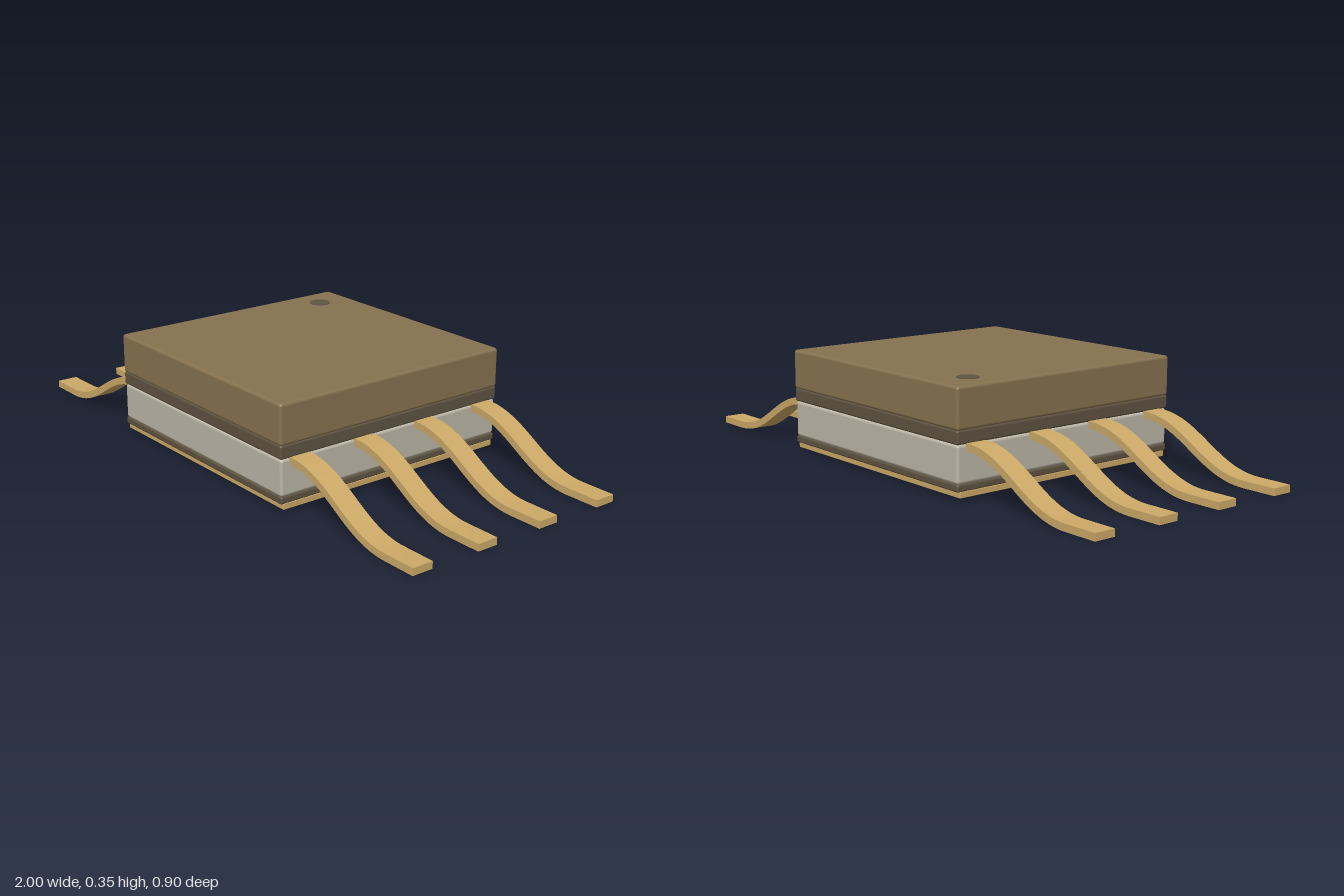
import * as THREE from 'three';
import { toCreasedNormals } from 'three/addons/utils/BufferGeometryUtils.js';
import { RoundedBoxGeometry } from 'three/addons/geometries/RoundedBoxGeometry.js';

function material(name, color) {
  const m = new THREE.MeshStandardMaterial({ color });
  m.name = name;
  return m;
}

// Side outline of a lead: a flat strip bent into a soft S, thickened along its normals
function leadGeometry(thickness, width) {
  const path = new THREE.CurvePath();
  const v = (x, y) => new THREE.Vector2(x, y);
  const high = 0.163, low = thickness / 2;
  path.add(new THREE.LineCurve(v(0.40, high), v(0.45, high)));
  path.add(new THREE.CubicBezierCurve(v(0.45, high), v(0.62, high), v(0.70, low), v(0.88, low)));
  path.add(new THREE.LineCurve(v(0.88, low), v(1, low)));

  const upper = [], lower = [];
  for (const curve of path.curves) {
    const steps = curve.isLineCurve ? 1 : 24;
    for (let i = curve === path.curves[0] ? 0 : 1; i <= steps; i++) {
      const p = curve.getPoint(i / steps);
      const t = curve.getTangent(i / steps);
      const n = v(-t.y, t.x).multiplyScalar(thickness / 2);
      upper.push(p.clone().add(n));
      lower.push(p.clone().sub(n));
    }
  }
  const shape = new THREE.Shape([...lower, ...upper.reverse()]);
  const geometry = new THREE.ExtrudeGeometry(shape, { depth: width, bevelEnabled: false });
  geometry.translate(0, 0, -width / 2);
  return toCreasedNormals(geometry, 0.6);
}

export function createModel() {
  const model = new THREE.Group();
  model.name = 'flatPackage';

  const brown = material('brown ceramic', 0x86724f);
  const dark = material('dark seal', 0x5e5341);
  const grey = material('pale ceramic', 0xbcb6a6);
  const gold = material('gold metal', 0xcca967);

  // Stacked body layers: name, bottom, top, width, depth, edge radius, material
  const layers = [
    ['basePlate', 0.008, 0.028, 0.89, 0.874, 0.002, gold],
    ['lowerSeal', 0.027, 0.051, 0.892, 0.894, 0.006, dark],
    ['ceramicBody', 0.05, 0.172, 0.89, 0.892, 0.01, grey],
    ['upperSeal', 0.172, 0.217, 0.894, 0.896, 0.007, dark],
    ['lid', 0.215, 0.35, 0.896, 0.898, 0.01, brown],
  ];
  for (const [name, bottom, top, w, d, r, mat] of layers) {
    const layer = new THREE.Mesh(new RoundedBoxGeometry(w, top - bottom, d, 3, r), mat);
    layer.name = name;
    layer.position.y = (bottom + top) / 2;
    model.add(layer);
  }

  // Orientation dot on the lid
  const dot = new THREE.Mesh(new THREE.CylinderGeometry(0.036, 0.036, 0.004, 32), dark);
  dot.name = 'orientationDot';
  dot.position.set(-0.34, 0.35, -0.322);
  model.add(dot);

  // Four leads on each side
  const geometry = leadGeometry(0.024, 0.074);
  for (const side of ['left', 'right']) {
    const row = new THREE.Group();
    row.name = side + 'Leads';
    if (side === 'right') row.rotation.y = Math.PI;
    for (let i = 0; i < 4; i++) {
      const lead = new THREE.Mesh(geometry, gold);
      lead.name = side + 'Lead' + (i + 1);
      lead.position.z = 0.375 - i * 0.25;
      row.add(lead);
    }
    model.add(row);
  }
  return model;
}
